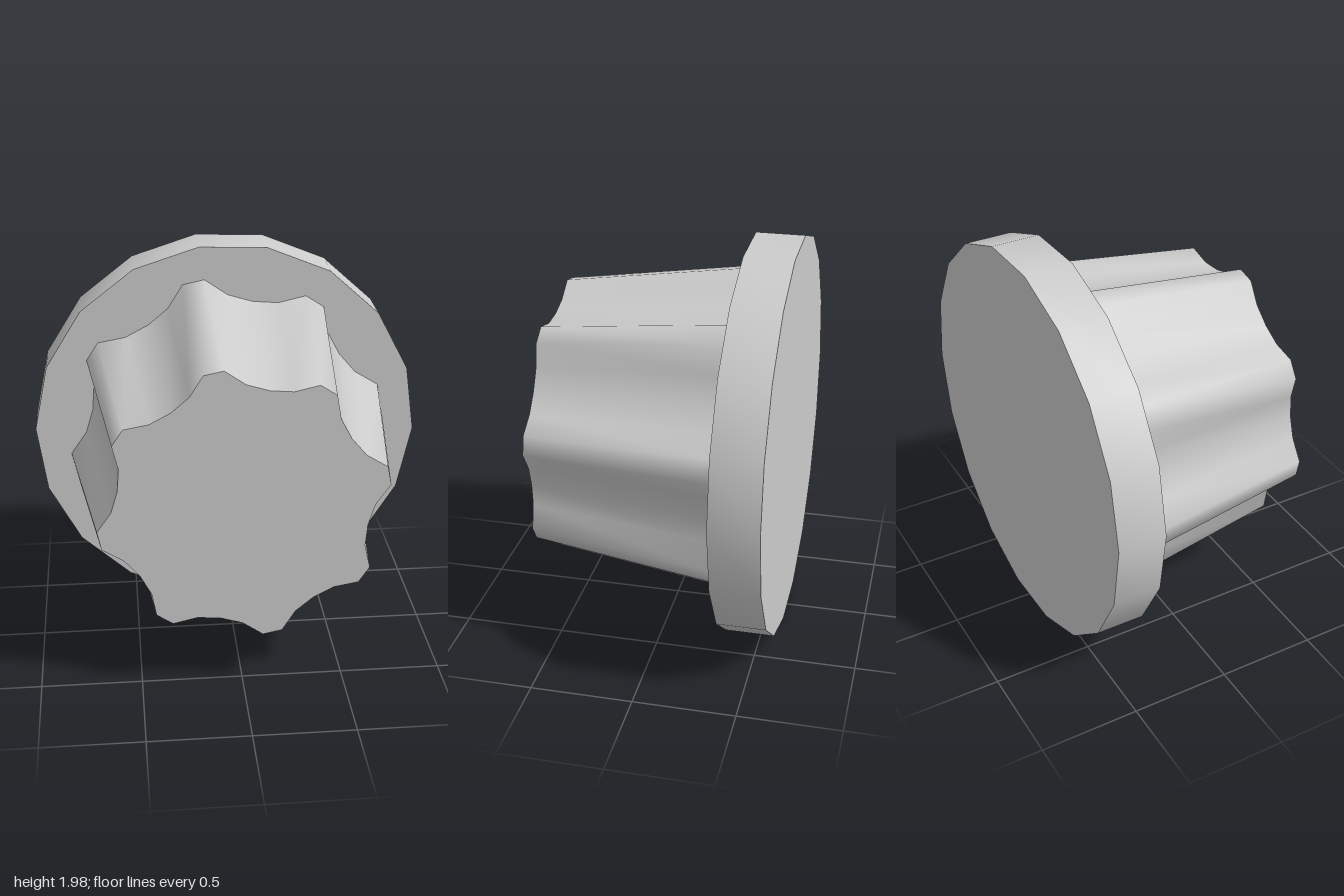
import * as THREE from 'three';

const CENTER_Y = 0.99;

// Outline given as [angle in degrees, radius], counter-clockwise, lofted along z.
// Sides are smooth around the rim; the end caps are flat.
function loft(outline, zBack, zFront, frontScale, backCap) {
  const pos = [], index = [];
  const n = outline.length;
  const ring = (z, s) => {
    const start = pos.length / 3;
    for (const [deg, r] of outline) {
      const a = THREE.MathUtils.degToRad(deg);
      pos.push(r * s * Math.cos(a), r * s * Math.sin(a), z);
    }
    return start;
  };
  const b = ring(zBack, 1), f = ring(zFront, frontScale);
  for (let i = 0; i < n; i++) {
    const j = (i + 1) % n;
    index.push(b + i, b + j, f + j, b + i, f + j, f + i);
  }
  const cap = (z, s, front) => {
    const start = ring(z, s), c = pos.length / 3;
    pos.push(0, 0, z);
    for (let i = 0; i < n; i++) {
      const p = start + i, q = start + (i + 1) % n;
      index.push(c, front ? p : q, front ? q : p);
    }
  };
  cap(zFront, frontScale, true);
  if (backCap) cap(zBack, 1, false);
  const g = new THREE.BufferGeometry();
  g.setAttribute('position', new THREE.Float32BufferAttribute(pos, 3));
  g.setIndex(index);
  g.computeVertexNormals();
  return g;
}

export function createModel() {
  const group = new THREE.Group();
  const grey = new THREE.MeshStandardMaterial({ color: 0xcccccc });
  grey.name = 'light grey';

  const add = (name, geometry) => {
    const mesh = new THREE.Mesh(geometry, grey);
    mesh.name = name;
    mesh.position.y = CENTER_Y;
    group.add(mesh);
  };

  // 18-sided base disc
  const disc = [];
  for (let i = 0; i < 18; i++) disc.push([i * 20 - 2.1, 1]);
  add('flange', loft(disc, -0.59, -0.35, 1, true));

  // Tapered grip: eight narrow ridges with scooped flutes between them
  const lobe = [[-3.9, 0.828], [3.9, 0.828], [12.2, 0.738], [22.5, 0.712], [32.8, 0.738]];
  const grip = [];
  for (let i = 0; i < 8; i++) {
    for (const [a, r] of lobe) grip.push([11.6 + i * 45 + a, r]);
  }
  add('flutedGrip', loft(grip, -0.35, 0.59, 0.843, false));

  return group;
}
